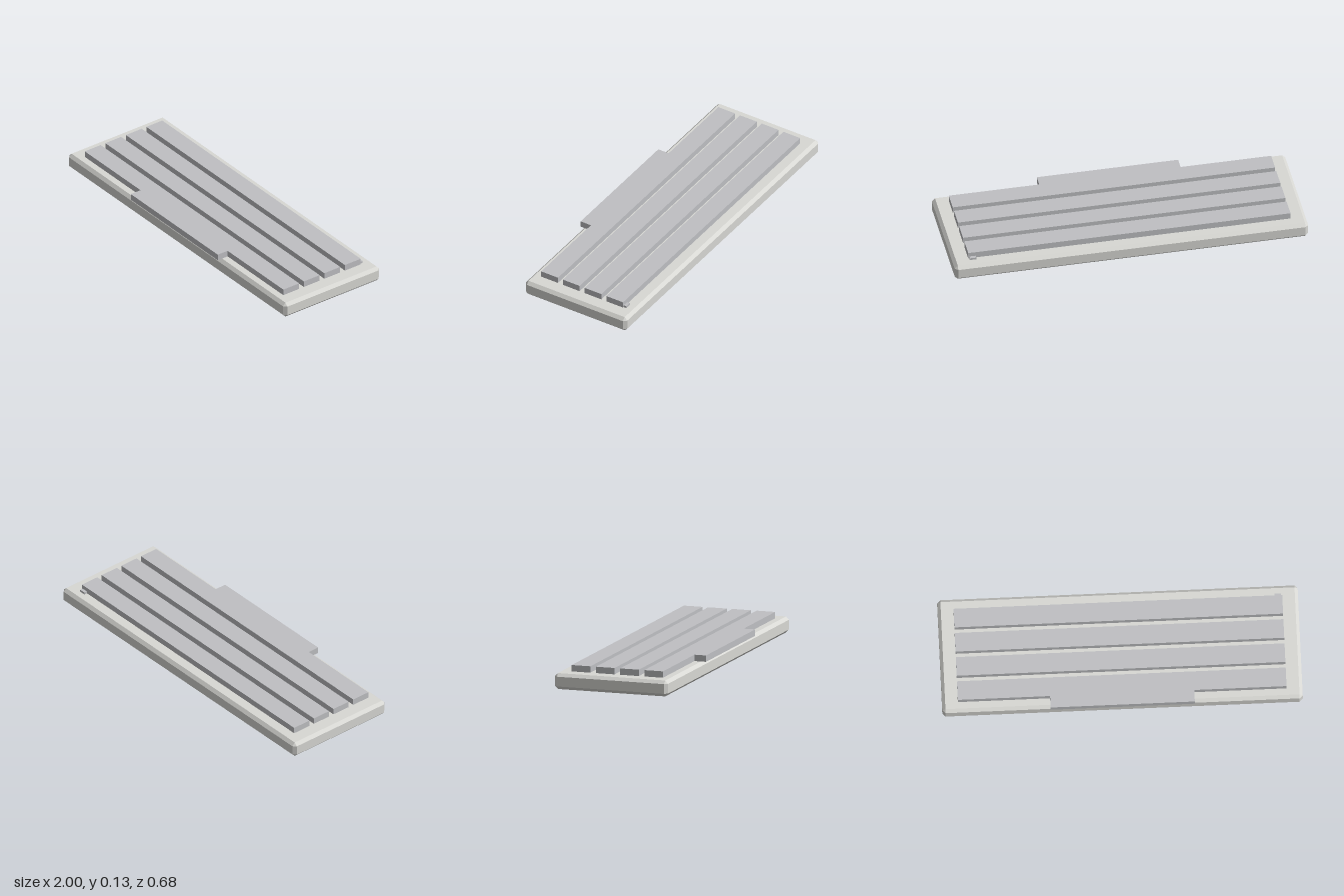
import * as THREE from 'three';
import { ConvexGeometry } from 'three/addons/geometries/ConvexGeometry.js';

// Box with every edge chamfered by c
function chamferedBox(w, h, d, c) {
  const half = [w / 2, h / 2, d / 2];
  const points = [];
  for (const sx of [-1, 1]) for (const sy of [-1, 1]) for (const sz of [-1, 1]) {
    for (let axis = 0; axis < 3; axis++) {
      // each corner becomes three points, one lying on each adjoining face
      const p = half.map((v, i) => (i === axis ? v : v - c));
      points.push(new THREE.Vector3(p[0] * sx, p[1] * sy, p[2] * sz));
    }
  }
  return new ConvexGeometry(points);
}

export function createModel() {
  const group = new THREE.Group();
  const caseGrey = new THREE.MeshStandardMaterial({ color: 0xd8d8d4 });
  caseGrey.name = 'caseGrey';
  const keyGrey = new THREE.MeshStandardMaterial({ color: 0xbfc0c3 });
  keyGrey.name = 'keyGrey';

  const add = (name, geometry, material, x, y, z) => {
    const mesh = new THREE.Mesh(geometry, material);
    mesh.name = name;
    mesh.position.set(x, y, z);
    group.add(mesh);
  };

  // Keyboard case
  const top = 0.09;
  add('case', chamferedBox(2, top, 0.667, 0.0175), caseGrey, 0, top / 2, -0.0055);

  // Four key rows, back to front
  const keyHeight = 0.036;
  const keyY = top + keyHeight / 2;
  for (let i = 0; i < 4; i++) {
    add(`keyRow${i + 1}`, new THREE.BoxGeometry(1.824, keyHeight, 0.11), keyGrey, 0, keyY, -0.211 + i * 0.1427);
  }

  // Space bar, reaching just past the front of the case
  add('spaceBar', new THREE.BoxGeometry(0.8, keyHeight, 0.068), keyGrey, 0, keyY, 0.306);

  // Small indicator behind the back row
  add('indicator', new THREE.BoxGeometry(0.036, 0.012, 0.018), keyGrey, 0.888, top + 0.006, -0.275);

  return group;
}
